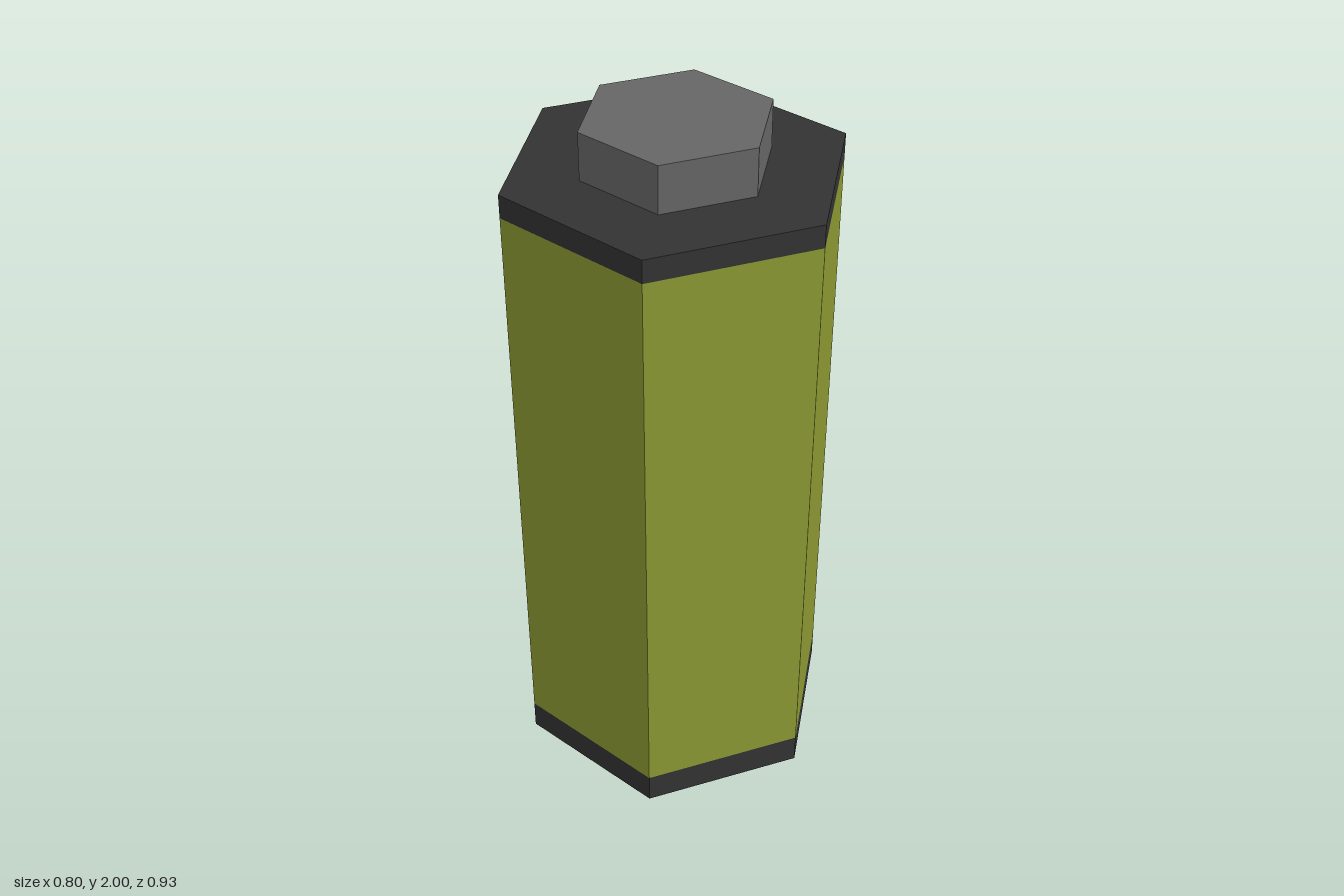
import * as THREE from 'three';

export function createModel() {
  const group = new THREE.Group();
  const material = (name, color) => {
    const m = new THREE.MeshStandardMaterial({ color, flatShading: true });
    m.name = name;
    return m;
  };
  const olive = material('olive casing', 0x8c9933);
  const black = material('black end cap', 0x333333);
  const grey = material('grey terminal', 0x666666);

  // Hexagonal prism between two heights, with corners on the z axis
  const prism = (name, radius, bottom, top, mat, open = false) => {
    const geometry = new THREE.CylinderGeometry(radius, radius, top - bottom, 6, 1, open);
    geometry.translate(0, (top + bottom) / 2, 0);
    const mesh = new THREE.Mesh(geometry, mat);
    mesh.name = name;
    group.add(mesh);
  };

  prism('bottomCap', 0.464, 0, 0.09, black);
  prism('casing', 0.464, 0.09, 1.802, olive, true);
  prism('topCap', 0.464, 1.802, 1.867, black);
  prism('terminal', 0.257, 1.867, 2, grey);
  return group;
}
